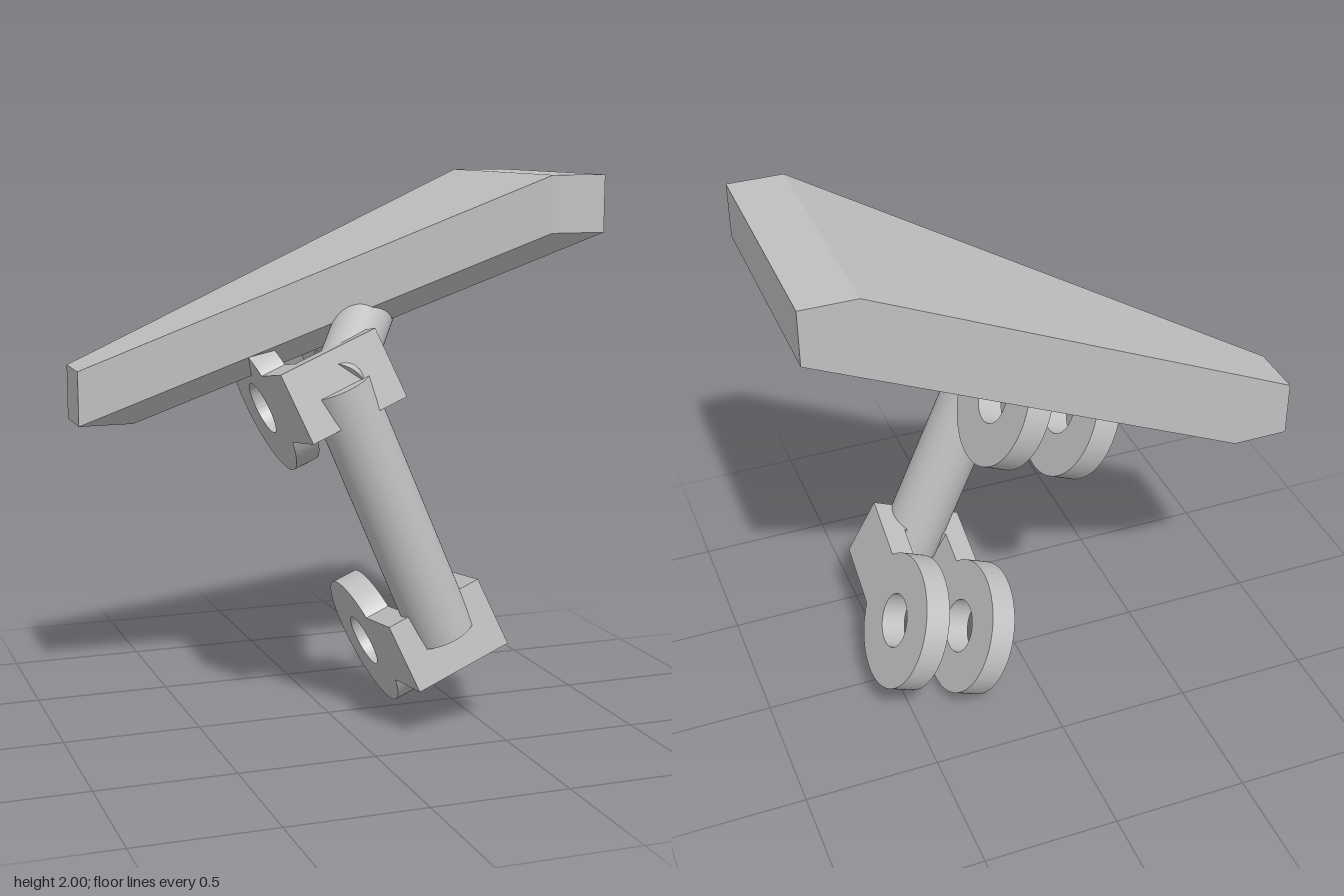
import * as THREE from 'three';
import { ConvexGeometry } from 'three/addons/geometries/ConvexGeometry.js';
import { toCreasedNormals } from 'three/addons/utils/BufferGeometryUtils.js';

const TILT = 0.409;       // lean of the arm
const PITCH = 0.16;       // pitch of the clevises about their pin axis
const REACH = 0.434;      // rod axis to pin hole
const HALF = 0.067;       // half depth of the clevis block
const WIDTH = 0.37;
const LUG = 0.094;
const TOP = 0.126;        // clevis block extents along the arm
const BOTTOM = -0.135;
const EYE = 0.253;        // eye radius

export function createModel() {
  const grey = new THREE.MeshStandardMaterial({ color: 0xc0c0c0 });
  grey.name = 'light grey';
  const model = new THREE.Group();
  model.name = 'hingedArm';

  const add = (parent, name, geometry) => {
    const mesh = new THREE.Mesh(geometry, grey);
    mesh.name = name;
    parent.add(mesh);
    return mesh;
  };

  // Sloping plate: hull of a small cube placed at three triangle corners
  const corners = [[0.77, 1.9, 0.333], [0.77, 1.9, -0.333], [-0.77, 1.2, -0.333]];
  const points = [];
  for (const [x, y, z] of corners)
    for (const i of [-1, 1]) for (const j of [-1, 1]) for (const k of [-1, 1])
      points.push(new THREE.Vector3(x + i * 0.1, y + j * 0.1, z + k * 0.1));
  add(model, 'slopingPlate', new ConvexGeometry(points));

  // Stub joining the upper clevis to the middle of the plate
  const start = new THREE.Vector3(-0.074, 1.29, 0.32);
  const end = new THREE.Vector3(0.257, 1.667, -0.11);
  const axis = end.clone().sub(start);
  const stub = add(model, 'plateStub', new THREE.CylinderGeometry(0.1, 0.1, axis.length(), 48));
  stub.position.copy(start).add(end).multiplyScalar(0.5);
  stub.quaternion.setFromUnitVectors(new THREE.Vector3(0, 1, 0), axis.normalize());

  // Leaning arm with its rod
  const arm = new THREE.Group();
  arm.name = 'arm';
  arm.position.copy(start);
  arm.rotation.z = TILT;
  model.add(arm);
  add(arm, 'rod', new THREE.CylinderGeometry(0.116, 0.116, 1, 48)).position.y = -0.5;

  // Lug outline: straight neck ending in a round eye with a pin hole
  const outline = new THREE.Shape();
  outline.moveTo(-HALF, TOP);
  outline.lineTo(-HALF, BOTTOM);
  outline.absarc(REACH, 0, EYE, Math.PI - Math.asin(BOTTOM / EYE), Math.PI * 3 - Math.asin(TOP / EYE), false);
  outline.closePath();
  const hole = new THREE.Path();
  hole.absarc(REACH, 0, 0.1, 0, Math.PI * 2, true);
  outline.holes.push(hole);
  const lugGeometry = toCreasedNormals(
    new THREE.ExtrudeGeometry(outline, { depth: LUG, bevelEnabled: false, curveSegments: 48 })
      .translate(0, 0, -LUG / 2).rotateY(Math.PI / 2), 0.5);
  const blockGeometry = new THREE.BoxGeometry(WIDTH - 2 * LUG, TOP - BOTTOM, 2 * HALF)
    .translate(0, (TOP + BOTTOM) / 2, 0);

  // A forked clevis at each end of the rod
  for (const [name, y] of [['upperClevis', 0], ['lowerClevis', -1]]) {
    const clevis = new THREE.Group();
    clevis.name = name;
    clevis.position.y = y;
    clevis.rotation.x = -PITCH;
    arm.add(clevis);
    add(clevis, 'clevisBlock', blockGeometry);
    for (const side of [-1, 1])
      add(clevis, side > 0 ? 'leftLug' : 'rightLug', lugGeometry).position.x = side * (WIDTH - LUG) / 2;
  }
  return model;
}
